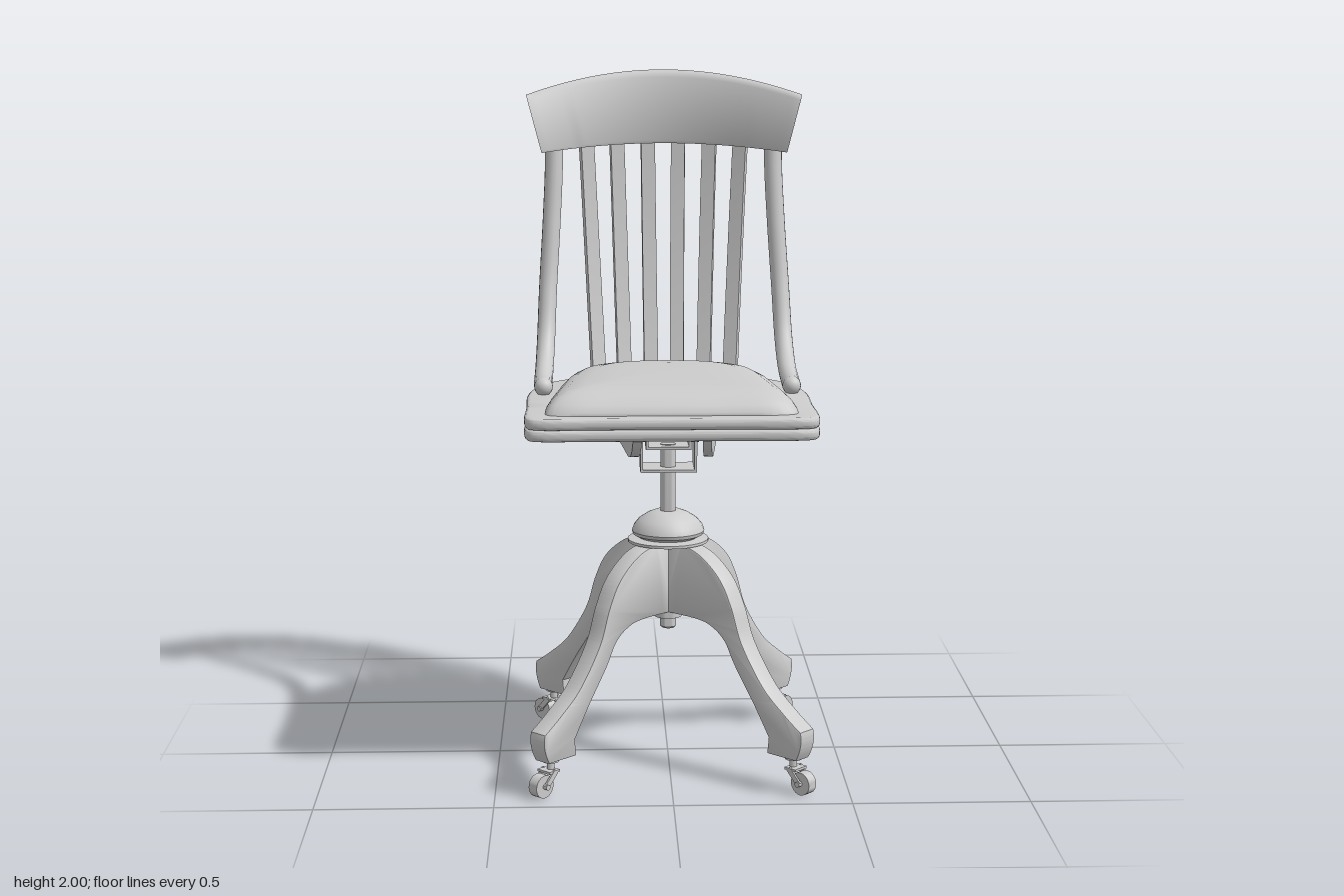
import * as THREE from 'three';
import { toCreasedNormals } from 'three/addons/utils/BufferGeometryUtils.js';

const V = (x, y, z) => new THREE.Vector3(x, y, z);
const material = new THREE.MeshStandardMaterial({ color: 0xcccccc });
material.name = 'plain grey';
const BASE_Z = 0.045;

function add(parent, name, geometry, x = 0, y = 0, z = 0) {
  const mesh = new THREE.Mesh(geometry, material);
  mesh.name = name;
  mesh.position.set(x, y, z);
  parent.add(mesh);
  return mesh;
}

// Skin a row of equal-length rings, cap both ends and face it outwards
function loft(rings, crease = 0.6) {
  const n = rings[0].length, pts = rings.flat(), idx = [];
  for (let i = 0; i < rings.length - 1; i++) {
    for (let j = 0; j < n; j++) {
      const a = i * n + j, b = i * n + (j + 1) % n;
      idx.push(a, b, a + n, b, b + n, a + n);
    }
  }
  [0, rings.length - 1].forEach((r, end) => {
    const c = pts.length;
    pts.push(rings[r].reduce((s, p) => s.add(p), V(0, 0, 0)).divideScalar(n));
    for (let j = 0; j < n; j++) {
      const a = r * n + j, b = r * n + (j + 1) % n;
      idx.push(...(end ? [a, b, c] : [b, a, c]));
    }
  });
  let volume = 0;
  for (let i = 0; i < idx.length; i += 3) {
    volume += pts[idx[i]].dot(V(0, 0, 0).crossVectors(pts[idx[i + 1]], pts[idx[i + 2]]));
  }
  if (volume < 0) idx.reverse();
  const g = new THREE.BufferGeometry().setFromPoints(pts);
  g.setIndex(idx);
  return toCreasedNormals(g, crease);
}

// Mirrored closed outline from half a profile of [x, z], front to back
function outline(half, count) {
  const pts = [...half.map(([x, z]) => V(x, -z, 0)),
    ...half.slice().reverse().map(([x, z]) => V(-x, -z, 0))];
  return new THREE.CatmullRomCurve3(pts, true, 'centripetal').getPoints(count).slice(0, -1)
    .map(p => new THREE.Vector2(p.x, p.y));
}

const seatHalf = [[0.2, 0.438], [0.36, 0.438], [0.385, 0.428], [0.394, 0.405], [0.394, 0.2], [0.394, 0],
  [0.36, -0.15], [0.29, -0.24], [0.19, -0.305], [0.06, -0.336]];
const cushionHalf = [[0.15, 0.402], [0.31, 0.398], [0.345, 0.38], [0.352, 0.33], [0.33, 0.12],
  [0.305, -0.06], [0.265, -0.18], [0.18, -0.262], [0.06, -0.293]];

function buildSeat(group) {
  // Two stacked frame boards, open in the middle
  for (const [name, y] of [['seatFrameLower', 1.02], ['seatFrameUpper', 1.052]]) {
    const shape = new THREE.Shape(outline(seatHalf, 120));
    shape.holes.push(new THREE.Path(outline(cushionHalf, 80).map(p => p.clone().multiplyScalar(0.8))));
    const g = new THREE.ExtrudeGeometry(shape, { depth: 0.012, bevelThickness: 0.01, bevelSize: 0.011, bevelSegments: 3 });
    g.rotateX(-Math.PI / 2);
    add(group, name, toCreasedNormals(g, 0.7), 0, y + 0.01, 0);
  }
  // Domed cushion
  const edge = outline(cushionHalf, 100);
  const layers = [[0.95, 1.055], [1, 1.08], [0.99, 1.092], [0.955, 1.11], [0.9, 1.127], [0.82, 1.14],
    [0.68, 1.149], [0.45, 1.154], [0.2, 1.156]];
  add(group, 'cushion', loft(layers.map(([s, y]) =>
    edge.map(p => V(p.x * s, y, 0.06 + (-p.y - 0.06) * s))), 0.9));
}

function buildBack(group) {
  // Curved crest rail
  const section = [[0, -0.8], [0, 0.8], [0.04, 1], [0.9, 1], [0.97, 0.7], [1, 0], [0.97, -0.7], [0.9, -1], [0.04, -1]];
  const rings = [];
  for (let i = 0; i <= 32; i++) {
    const u = i / 16 - 1, low = 1.78 - 0.02 * u * u, high = 2 - 0.07 * u * u;
    rings.push(section.map(([v, t]) => V(u * (0.365 + 0.045 * v), low + v * (high - low),
      -0.42 + 0.14 * u * u - 0.015 * v + 0.02 * t)));
  }
  add(group, 'crestRail', loft(rings, 0.8));

  for (const side of [-1, 1]) {
    // Bent side posts with rounded tips
    const path = new THREE.CatmullRomCurve3([[0.36, 1.105, 0.025], [0.362, 1.108, -0.06], [0.36, 1.135, -0.155],
      [0.356, 1.21, -0.232], [0.35, 1.35, -0.287], [0.338, 1.55, -0.325], [0.33, 1.72, -0.347],
      [0.33, 1.85, -0.36]].map(([x, y, z]) => V(x * side, y, z)));
    add(group, 'sidePost', new THREE.TubeGeometry(path, 48, 0.027, 16));
    for (const t of [0, 1]) {
      const p = path.getPoint(t);
      add(group, 'postTip', new THREE.SphereGeometry(0.027, 16, 12), p.x, p.y, p.z);
    }
    // Three flat bowed slats on each side
    for (const [x0, z0, x1] of [[0.039, -0.318, 0.046], [0.12, -0.305, 0.14], [0.198, -0.275, 0.232]]) {
      const z1 = -0.42 + 0.95 * x1 * x1, a = Math.atan(1.8 * x1), c = Math.cos(a), s = Math.sin(a);
      const slat = [];
      for (let i = 0; i <= 10; i++) {
        const t = i / 10, x = x0 + (x1 - x0) * t, z = z0 + (z1 - z0) * t - 0.07 * t * (1 - t);
        slat.push([[-1, -1], [1, -1], [1, 1], [-1, 1]].map(([w, d]) =>
          V(side * (x + w * 0.021 * c - d * 0.01 * s), 1.07 + 0.72 * t, z + w * 0.021 * s + d * 0.01 * c)));
      }
      add(group, 'backSlat', loft(slat));
    }
  }
}

function buildMechanism(group) {
  // Splayed runners with rounded ends
  const runner = new THREE.Shape();
  runner.moveTo(-0.32, 0.085);
  runner.lineTo(-0.32, 0.065);
  runner.quadraticCurveTo(-0.28, 0, -0.18, 0);
  runner.lineTo(0.22, 0);
  runner.quadraticCurveTo(0.3, 0, 0.32, 0.05);
  runner.lineTo(0.32, 0.085);
  for (const side of [-1, 1]) {
    const g = new THREE.ExtrudeGeometry(runner, { depth: 0.025, bevelEnabled: false, curveSegments: 10 });
    g.translate(0, 0, -0.0125).rotateY(Math.PI / 2);
    add(group, 'runner', toCreasedNormals(g, 0.5), side * 0.125, 0.945, 0.07).rotation.y = -side * 0.09;
    // Bracket cheeks and bolts
    add(group, 'bracketCheek', new THREE.BoxGeometry(0.008, 0.155, 0.12), side * 0.078, 0.943, BASE_Z);
    add(group, 'innerCheek', new THREE.BoxGeometry(0.008, 0.05, 0.1), side * 0.062, 0.955, BASE_Z);
    for (const dz of [-0.038, 0.038]) {
      const bolt = new THREE.CylinderGeometry(0.014, 0.014, 0.03, 12).rotateZ(Math.PI / 2);
      add(group, 'bolt', bolt, side * 0.073, 0.965, BASE_Z + dz);
    }
  }
  add(group, 'bracketBase', new THREE.BoxGeometry(0.16, 0.008, 0.12), 0, 0.869, BASE_Z);
  add(group, 'bracketPlate', new THREE.BoxGeometry(0.13, 0.008, 0.1), 0, 0.934, BASE_Z);
  for (const z of [-0.1, 0.2]) add(group, 'crossBar', new THREE.BoxGeometry(0.6, 0.012, 0.05), 0, 1.027, z);
}

function buildBase(group) {
  // Turned column: lower nut, rod, domed hub and spindle
  const turn = pts => toCreasedNormals(new THREE.LatheGeometry(pts.map(p => new THREE.Vector2(...p)), 32), 0.6);
  add(group, 'column', turn([[0, 0.39], [0.018, 0.39], [0.024, 0.396], [0.024, 0.425], [0.04, 0.425], [0.04, 0.447],
    [0.018, 0.447], [0.018, 0.65], [0.022, 0.7], [0.022, 0.94], [0, 0.94]]), 0, 0, BASE_Z);
  add(group, 'hubDome', turn([[0, 0.652], [0.118, 0.652], [0.118, 0.66], [0.085, 0.664], [0.103, 0.674], [0.106, 0.684],
    [0.1, 0.7], [0.085, 0.718], [0.06, 0.734], [0.04, 0.742], [0, 0.742]]), 0, 0, BASE_Z);

  // Swept leg profile, radius against height
  const leg = new THREE.Shape();
  leg.moveTo(0.01, 0.655);
  leg.lineTo(0.07, 0.655);
  leg.splineThru([[0.15, 0.632], [0.225, 0.575], [0.27, 0.5], [0.31, 0.4], [0.39, 0.29], [0.47, 0.225],
    [0.53, 0.185]].map(p => new THREE.Vector2(...p)));
  leg.quadraticCurveTo(0.54, 0.15, 0.515, 0.105);
  leg.lineTo(0.415, 0.105);
  leg.lineTo(0.42, 0.15);
  leg.splineThru([[0.36, 0.24], [0.29, 0.335], [0.25, 0.4], [0.2, 0.435], [0.14, 0.448],
    [0.01, 0.448]].map(p => new THREE.Vector2(...p)));
  const legGeometry = toCreasedNormals(new THREE.ExtrudeGeometry(leg,
    { depth: 0.048, bevelThickness: 0.006, bevelSize: 0.004, bevelSegments: 2, curveSegments: 28 })
    .translate(0, 0, -0.024), 0.6);

  for (let i = 0; i < 4; i++) {
    const arm = new THREE.Group();
    arm.name = 'legAndCaster';
    arm.position.z = BASE_Z;
    arm.rotation.y = Math.PI / 4 + i * Math.PI / 2;
    group.add(arm);
    add(arm, 'leg', legGeometry);
    // Caster: stem, fork and wheel
    add(arm, 'casterStem', new THREE.CylinderGeometry(0.011, 0.011, 0.045, 12), 0.485, 0.09, 0);
    add(arm, 'casterCollar', new THREE.CylinderGeometry(0.024, 0.024, 0.008, 16), 0.485, 0.1, 0);
    add(arm, 'forkTop', new THREE.BoxGeometry(0.04, 0.007, 0.05), 0.493, 0.071, 0);
    for (const s of [-1, 1]) {
      add(arm, 'forkCheek', new THREE.BoxGeometry(0.055, 0.016, 0.006), 0.506, 0.053, s * 0.023).rotation.z = -0.8;
    }
    add(arm, 'wheel', toCreasedNormals(new THREE.CylinderGeometry(0.033, 0.033, 0.032, 24)
      .rotateX(Math.PI / 2), 0.6), 0.523, 0.033, 0);
    add(arm, 'axle', new THREE.CylinderGeometry(0.008, 0.008, 0.06, 10).rotateX(Math.PI / 2), 0.523, 0.034, 0);
  }
}

export function createModel() {
  const group = new THREE.Group();
  group.name = 'swivelChair';
  buildSeat(group);
  buildBack(group);
  buildMechanism(group);
  buildBase(group);
  return group;
}
